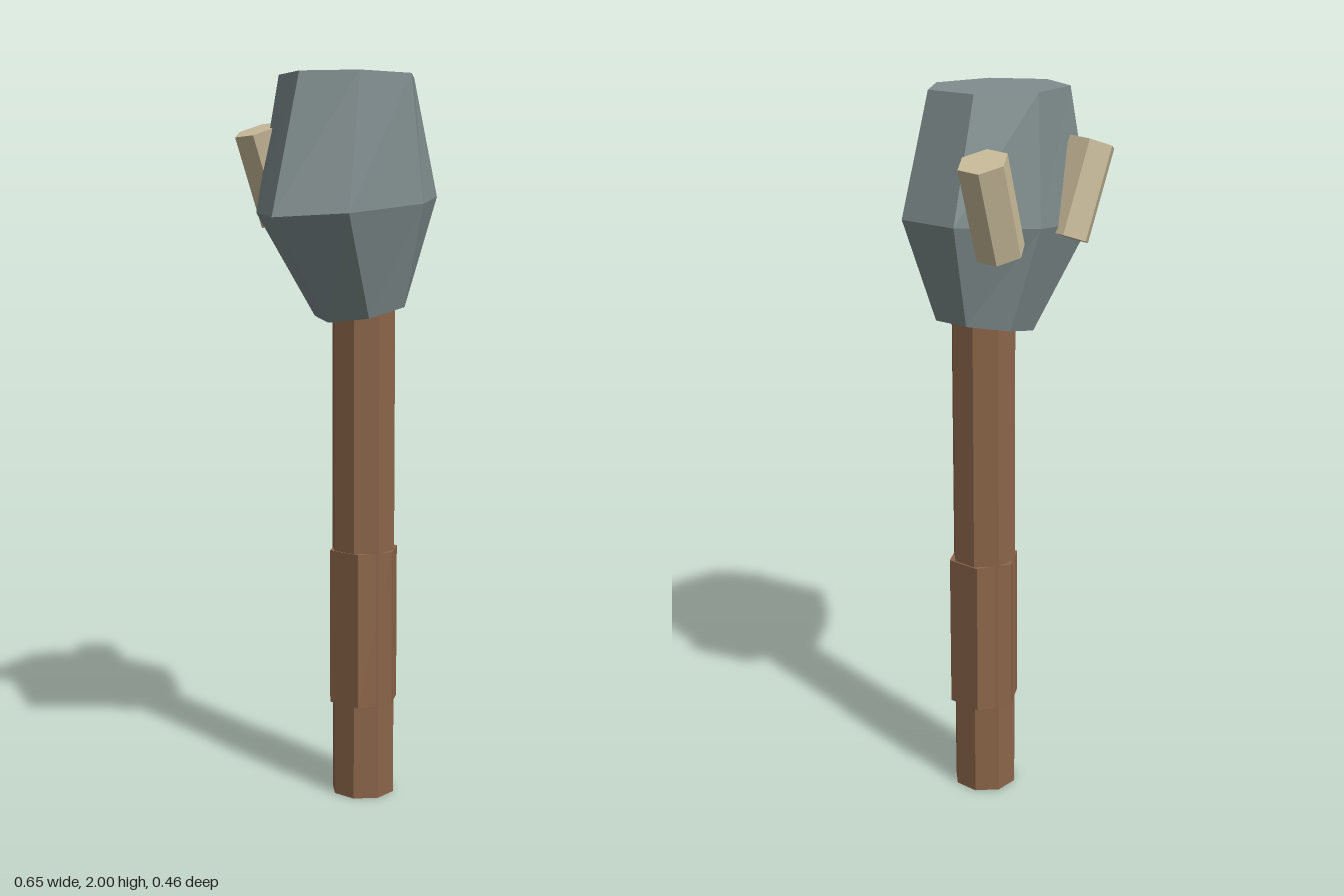
import * as THREE from 'three';

const stone = new THREE.MeshStandardMaterial({ name: 'stone grey', color: 0x7f8c8d });
const wood = new THREE.MeshStandardMaterial({ name: 'wood brown', color: 0x8b6549 });
const bone = new THREE.MeshStandardMaterial({ name: 'bone cream', color: 0xc9bb9a });

// Faceted mesh: every face gets its own flat normal
function facet(name, geometry, material) {
  const flat = geometry.toNonIndexed();
  flat.computeVertexNormals();
  const mesh = new THREE.Mesh(flat, material);
  mesh.name = name;
  return mesh;
}

// Seven-sided head: three rings, the lower ones tilted along x
function headGeometry() {
  const rings = [
    { cx: 0.047, rx: 0.147, rz: 0.122, y: 1.366, slope: 0.21 },
    { cx: -0.0146, rx: 0.31, rz: 0.205, y: 1.656, slope: 0.09 },
    { cx: -0.0115, rx: 0.2036, rz: 0.178, y: 2, slope: 0 },
  ];
  const geometry = new THREE.CylinderGeometry(1, 1, 2, 7, 2, false, -Math.PI / 2);
  const p = geometry.attributes.position;
  for (let i = 0; i < p.count; i++) {
    const ring = rings[Math.round(p.getY(i)) + 1];
    const x = ring.cx + ring.rx * p.getX(i);
    p.setXYZ(i, x, ring.y + ring.slope * x, 0.027 + ring.rz * p.getZ(i));
  }
  return geometry;
}

// Hexagonal spike running from its root to its tip
function spike(name, root, tip) {
  const axis = tip.clone().sub(root);
  const mesh = facet(name, new THREE.CylinderGeometry(0.066, 0.066, axis.length(), 6), bone);
  mesh.position.copy(root).add(tip).multiplyScalar(0.5);
  mesh.quaternion.setFromUnitVectors(new THREE.Vector3(0, 1, 0), axis.normalize());
  return mesh;
}

export function createModel() {
  const group = new THREE.Group();
  group.name = 'stoneClub';

  // Octagonal shaft, flat side forward, ending inside the head
  const handle = facet('handle', new THREE.CylinderGeometry(0.09, 0.09, 1.5, 8, 1, false, Math.PI / 8), wood);
  handle.position.set(0.049, 0.75, 0.028);

  // Hexagonal grip around the shaft
  const grip = facet('grip', new THREE.CylinderGeometry(0.1005, 0.1005, 0.437, 6), wood);
  grip.position.set(0.05, 0.486, 0.029);

  group.add(handle, grip, facet('head', headGeometry(), stone));

  // Two spikes at the back, leaning outwards
  for (const side of [1, -1]) {
    const x = 0.0515;
    group.add(spike(
      side > 0 ? 'leftSpike' : 'rightSpike',
      new THREE.Vector3(x + side * 0.1325, 1.617, -0.148),
      new THREE.Vector3(x + side * 0.2185, 1.857, -0.164),
    ));
  }
  return group;
}
